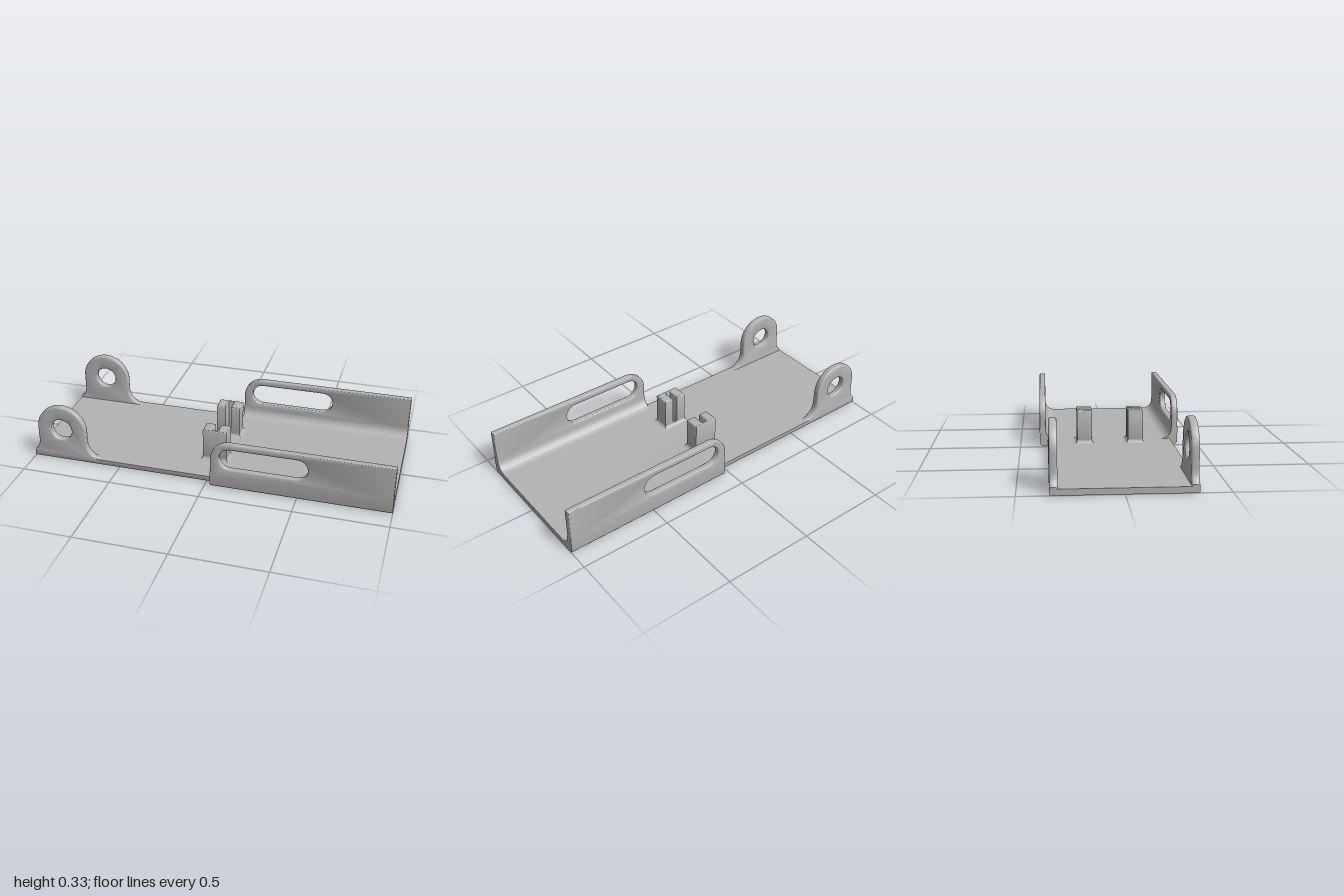
import * as THREE from 'three';
import { toCreasedNormals } from 'three/addons/utils/BufferGeometryUtils.js';

const metal = new THREE.MeshStandardMaterial({ color: 0xb3b3b3 });
metal.name = 'grey metal';

const FLOOR = 0.031;
const JOIN = 0.032; // x where the narrow plate meets the wide channel

function part(name, geometry) {
  const mesh = new THREE.Mesh(toCreasedNormals(geometry, 0.6), metal);
  mesh.name = name;
  return mesh;
}

// Plate of a given thickness with rounded edges that keeps the drawn outline
function plate(shape, thickness, bevel) {
  const g = new THREE.ExtrudeGeometry(shape, {
    depth: thickness - 2 * bevel, bevelEnabled: true, bevelThickness: bevel,
    bevelSize: bevel, bevelOffset: -bevel, bevelSegments: 3, curveSegments: 24,
  });
  return g.translate(0, 0, bevel);
}

// Cross-section (z, y) swept along x
function sweep(shape, x0, x1) {
  const g = new THREE.ExtrudeGeometry(shape, { depth: x1 - x0, bevelEnabled: false, curveSegments: 12 });
  return g.rotateY(Math.PI / 2).translate(x0, 0, 0);
}

// Narrow floor with softened lower edges
function narrowFloor() {
  const w = 0.347, r = 0.008;
  const s = new THREE.Shape();
  s.moveTo(-w + r, 0);
  s.lineTo(w - r, 0);
  s.absarc(w - r, r, r, -Math.PI / 2, 0, false);
  s.lineTo(w, FLOOR);
  s.lineTo(-w, FLOOR);
  s.lineTo(-w, r);
  s.absarc(-w + r, r, r, Math.PI, Math.PI * 1.5, false);
  return sweep(s, -1, JOIN);
}

// Wide floor with rounded outer corners and inner fillets running up the walls
function channel() {
  const w = 0.391, inner = 0.356, r = 0.02, f = 0.057, top = 0.1;
  const s = new THREE.Shape();
  s.moveTo(-w + r, 0);
  s.lineTo(w - r, 0);
  s.absarc(w - r, r, r, -Math.PI / 2, 0, false);
  s.lineTo(w, top);
  s.lineTo(inner, top);
  s.lineTo(inner, FLOOR + f);
  s.absarc(inner - f, FLOOR + f, f, 0, -Math.PI / 2, true);
  s.lineTo(-inner + f, FLOOR);
  s.absarc(-inner + f, FLOOR + f, f, -Math.PI / 2, -Math.PI, true);
  s.lineTo(-inner, top);
  s.lineTo(-w, top);
  s.lineTo(-w, r);
  s.absarc(-w + r, r, r, Math.PI, Math.PI * 1.5, false);
  return sweep(s, JOIN, 1);
}

// Side wall with a rounded front corner and a long slot
function wall() {
  const top = 0.273, r = 0.105;
  const s = new THREE.Shape();
  s.moveTo(JOIN, 0.06);
  s.lineTo(1, 0.06);
  s.lineTo(1, top);
  s.lineTo(JOIN + r, top);
  s.absarc(JOIN + r, top - r, r, Math.PI / 2, Math.PI, false);
  const slot = new THREE.Path();
  const sr = 0.06, cy = 0.18;
  slot.absarc(0.14, cy, sr, Math.PI / 2, Math.PI * 1.5, false);
  slot.absarc(0.495, cy, sr, -Math.PI / 2, Math.PI / 2, false);
  slot.closePath();
  s.holes.push(slot);
  return plate(s, 0.035, 0.007).translate(0, 0, 0.356);
}

// Hinge lug with a round hole and flared foot
function lug() {
  const cx = -0.83, cy = 0.187, r = 0.14, f = 0.09;
  const s = new THREE.Shape();
  s.moveTo(-1, 0.012);
  s.lineTo(-0.6, 0.012);
  s.lineTo(-0.6, FLOOR);
  s.absarc(cx + r + f, FLOOR + f, f, -Math.PI / 2, -Math.PI, true);
  s.lineTo(cx + r, cy);
  s.absarc(cx, cy, r, 0, Math.PI, false);
  s.lineTo(cx - r, 0.11);
  s.quadraticCurveTo(cx - r, 0.065, -1, 0.04);
  const hole = new THREE.Path();
  hole.absarc(cx, cy, 0.06, 0, Math.PI * 2, true);
  s.holes.push(hole);
  return plate(s, 0.039, 0.009).translate(0, 0, 0.308);
}

const HX = 0.067, Z0 = 0.1, Z1 = 0.183;

// Grooved post, open towards the centre line
function post() {
  const g = 0.015, back = 0.168;
  const s = new THREE.Shape([
    [-HX, Z0], [-g, Z0], [-g, back], [g, back], [g, Z0], [HX, Z0], [HX, Z1], [-HX, Z1],
  ].map(([x, y]) => new THREE.Vector2(x, y)));
  return plate(s, 0.205, 0.006).rotateX(-Math.PI / 2).translate(0, 0.011, 0);
}

// Concave skirt round the foot of a post
function postFillet() {
  const r = 0.02, points = [];
  for (let i = 0; i <= 6; i++) {
    const a = (i / 6) * Math.PI / 2;
    const off = Math.max(r * (1 - Math.sin(a)), 0.0005);
    points.push(new THREE.Vector2(off * Math.SQRT2, FLOOR + r * (1 - Math.cos(a))));
  }
  const geo = new THREE.LatheGeometry(points, 4, Math.PI / 4);
  const p = geo.attributes.position;
  const hz = (Z1 - Z0) / 2;
  for (let i = 0; i < p.count; i++) {
    p.setX(i, p.getX(i) + Math.sign(p.getX(i)) * HX);
    p.setZ(i, p.getZ(i) + Math.sign(p.getZ(i)) * hz);
  }
  return geo.translate(0, 0, -(Z0 + Z1) / 2);
}

export function createModel() {
  const group = new THREE.Group();
  group.name = 'bracket';
  group.add(part('narrowFloor', narrowFloor()), part('wideChannel', channel()));

  // Walls and lugs on both sides
  for (const [side, shift] of [['left', 0], ['right', -1]]) {
    const w = wall(), l = lug();
    if (shift) {
      w.translate(0, 0, -0.356 * 2 - 0.035);
      l.translate(0, 0, -0.308 * 2 - 0.039);
    }
    group.add(part(side === 'left' ? 'frontWall' : 'backWall', w));
    group.add(part(side === 'left' ? 'frontLug' : 'backLug', l));
  }

  // Pair of posts facing each other
  for (const [name, turn] of [['backPost', 0], ['frontPost', Math.PI]]) {
    const pair = new THREE.Group();
    pair.name = name;
    pair.add(part('groovedPost', post()), part('postFillet', postFillet()));
    pair.rotation.y = turn;
    group.add(pair);
  }
  return group;
}
